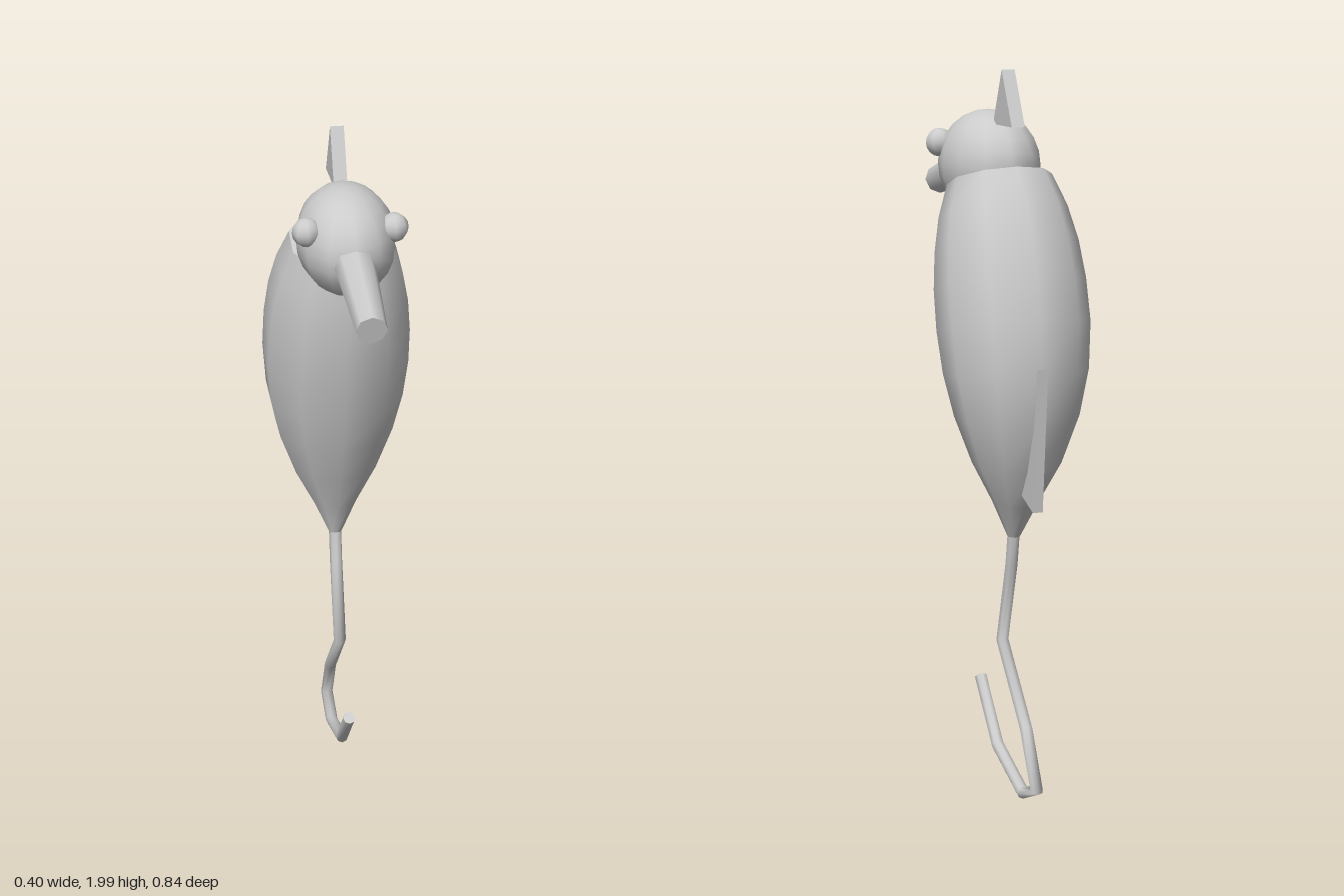
import * as THREE from 'three';

const material = new THREE.MeshStandardMaterial({ color: 0xcccccc });

function add(group, name, geometry) {
  const mesh = new THREE.Mesh(geometry, material);
  mesh.name = name;
  group.add(mesh);
  return mesh;
}

// Rings of [y, z, radius] swept along a path in the x = 0 plane, with flat end caps
function sweep(rings, sides) {
  const pos = [], index = [];
  const last = rings.length - 1;
  const X = new THREE.Vector3(1, 0, 0);
  const centre = (i) => new THREE.Vector3(0, rings[i][0], rings[i][1]);

  const addRing = (i) => {
    const start = pos.length / 3;
    const tangent = new THREE.Vector3();
    if (i > 0) tangent.add(centre(i).sub(centre(i - 1)).normalize());
    if (i < last) tangent.add(centre(i + 1).sub(centre(i)).normalize());
    const N = tangent.normalize().cross(X);
    for (let s = 0; s < sides; s++) {
      const a = Math.PI / 2 + (s / sides) * Math.PI * 2;
      const p = centre(i)
        .addScaledVector(X, Math.cos(a) * rings[i][2])
        .addScaledVector(N, Math.sin(a) * rings[i][2]);
      pos.push(p.x, p.y, p.z);
    }
    return start;
  };

  for (let i = 0; i <= last; i++) addRing(i);
  for (let i = 0; i < last; i++) {
    for (let s = 0; s < sides; s++) {
      const t = (s + 1) % sides;
      const a = i * sides + s, b = i * sides + t;
      index.push(a, b, b + sides, a, b + sides, a + sides);
    }
  }
  for (const i of [0, last]) {
    const start = addRing(i);
    for (let s = 1; s < sides - 1; s++) {
      if (i === 0) index.push(start, start + s + 1, start + s);
      else index.push(start, start + s, start + s + 1);
    }
  }
  const geo = new THREE.BufferGeometry();
  geo.setAttribute('position', new THREE.Float32BufferAttribute(pos, 3));
  geo.setIndex(index);
  geo.computeVertexNormals();
  return geo;
}

// Flat plate with a [z, y] outline, centred on x = 0
function plate(outline, width) {
  const shape = new THREE.Shape(outline.map(([z, y]) => new THREE.Vector2(z, y)));
  return new THREE.ExtrudeGeometry(shape, { depth: width, bevelEnabled: false })
    .translate(0, 0, -width / 2)
    .rotateY(-Math.PI / 2);
}

export function createModel() {
  const model = new THREE.Group();
  model.name = 'seahorse';

  // Curved, spindle-shaped body
  add(model, 'body', sweep([
    [0.74, -0.205, 0.018], [0.84, -0.217, 0.064], [0.95, -0.226, 0.122],
    [1.08, -0.227, 0.17], [1.2, -0.219, 0.197], [1.32, -0.2, 0.208],
    [1.43, -0.172, 0.206], [1.53, -0.146, 0.195], [1.62, -0.118, 0.175],
    [1.705, -0.09, 0.143],
  ], 10));

  // Thin hooked tail
  add(model, 'tail', sweep([
    [0.75, -0.205], [0.655, -0.188], [0.42, -0.117], [0.217, -0.305],
    [0.067, -0.385], [0.026, -0.283], [0.1, -0.08], [0.26, 0.06],
  ].map(([y, z]) => [y, z, 0.018]), 8));

  // Head
  const head = add(model, 'head', new THREE.SphereGeometry(1, 12, 12));
  head.scale.set(0.134, 0.148, 0.182);
  head.position.set(0, 1.74, -0.007);

  // Tapered snout
  const base = new THREE.Vector3(0, 1.737, 0.09);
  const tip = new THREE.Vector3(0, 1.66, 0.414);
  const along = tip.clone().sub(base);
  const snout = add(model, 'snout', new THREE.CylinderGeometry(0.041, 0.058, along.length(), 8));
  snout.position.copy(base).add(tip).multiplyScalar(0.5);
  snout.quaternion.setFromUnitVectors(new THREE.Vector3(0, 1, 0), along.normalize());

  // Eyes
  for (const side of [1, -1]) {
    const eye = add(model, side > 0 ? 'leftEye' : 'rightEye', new THREE.SphereGeometry(0.039, 8, 8));
    eye.position.set(side * 0.116, 1.795, 0.07);
  }

  // Crest on the head and fin on the back
  add(model, 'crest', plate([[-0.09, 1.853], [-0.155, 2.0], [-0.232, 1.853]], 0.037));
  add(model, 'backFin', plate([[-0.419, 1.237], [-0.385, 0.845], [-0.2, 0.91]], 0.028));

  return model;
}
